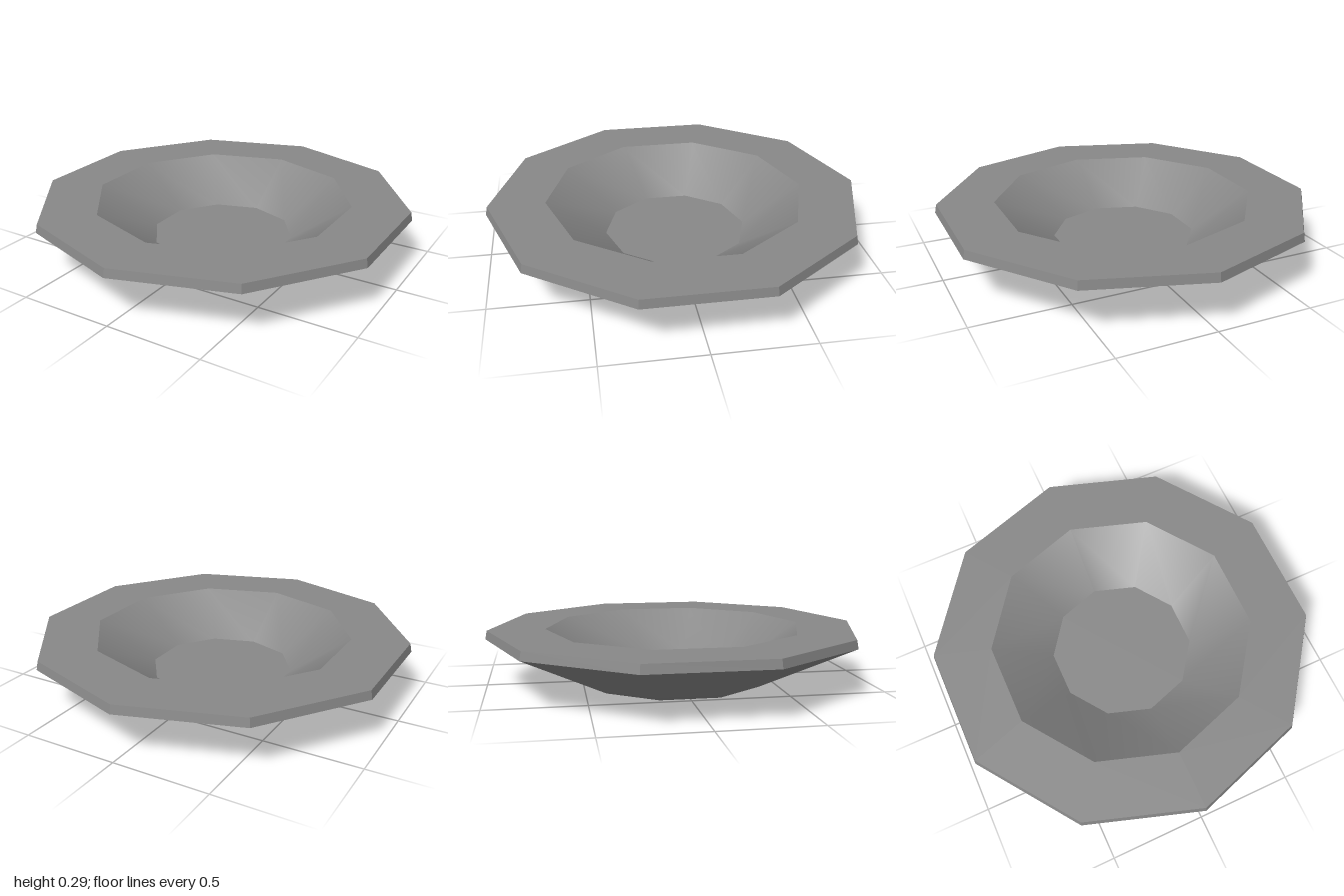
import * as THREE from 'three';
import { toCreasedNormals } from 'three/addons/utils/BufferGeometryUtils.js';

export function createModel() {
  const group = new THREE.Group();
  group.name = 'plate';
  const grey = new THREE.MeshStandardMaterial({ color: 0x888888 });
  grey.name = 'grey';

  // Ten-sided dish: underside, outer edge, flat rim, sloping well, floor
  const profile = [
    [0, 0], [0.49, 0], [1, 0.245], [0.991, 0.29],
    [0.69, 0.29], [0.38, 0.08], [0, 0.08],
  ].map(([r, y]) => new THREE.Vector2(r, y));

  // Gentle slopes stay smooth, rim facets and well edges stay sharp
  const geometry = toCreasedNormals(new THREE.LatheGeometry(profile, 10), Math.PI / 6);
  const dish = new THREE.Mesh(geometry, grey);
  dish.name = 'dish';
  group.add(dish);
  return group;
}
